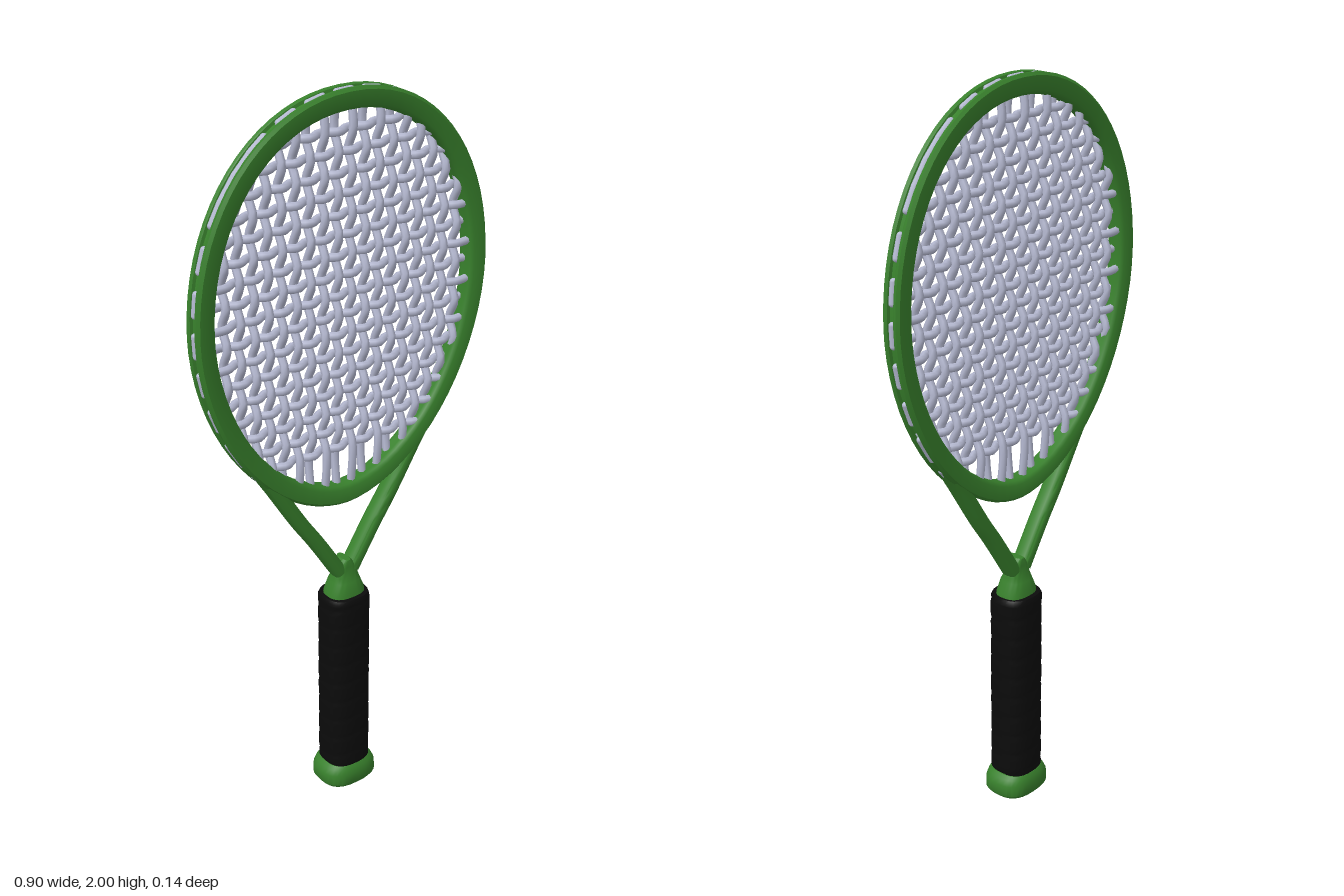
import * as THREE from 'three';
import { toCreasedNormals } from 'three/addons/utils/BufferGeometryUtils.js';

const V = (x, y, z) => new THREE.Vector3(x, y, z);

// Skin a list of equal-length rings; capped at both ends unless closed into a loop
function loft(rings, closed = false, crease = 0.7) {
  const n = rings[0].length, m = rings.length, index = [];
  const points = rings.flat();
  for (let i = 0; i < (closed ? m : m - 1); i++) {
    for (let j = 0; j < n; j++) {
      const k = (j + 1) % n, next = ((i + 1) % m) * n;
      const a = i * n + j, b = i * n + k, c = next + j, d = next + k;
      index.push(a, c, b, b, c, d);
    }
  }
  if (!closed) {
    const middle = ring => ring.reduce((s, p) => s.add(p), V(0, 0, 0)).divideScalar(n);
    points.push(middle(rings[0]), middle(rings[m - 1]));
    const first = m * n, last = first + 1, e = (m - 1) * n;
    for (let j = 0; j < n; j++) {
      const k = (j + 1) % n;
      index.push(first, j, k, last, e + k, e + j);
    }
  }
  const geo = new THREE.BufferGeometry().setFromPoints(points);
  geo.setIndex(index);
  return toCreasedNormals(geo, crease);
}

// Superellipse helpers
const spow = (v, e) => Math.sign(v) * Math.abs(v) ** e;
const oval = (rx, rz, p, n) => Array.from({ length: n }, (_, j) => {
  const t = (j / n) * Math.PI * 2;
  return [rx * spow(Math.cos(t), 2 / p), rz * spow(Math.sin(t), 2 / p)];
});
const level = (y, rx, rz, p = 2.7, n = 32) => oval(rx, rz, p, n).map(([x, z]) => V(x, y, z));

// Egg-shaped head outline; g offsets it outward
const CY = 1.47, A = 0.4225, TOP = { b: 0.5025, p: 2.1 }, LOW = { b: 0.55, p: 1.85 };
function headPoint(t, g, z) {
  const c = Math.cos(t), { b, p } = c > 0 ? TOP : LOW;
  return V(-(A + g) * spow(Math.sin(t), 2 / p), CY + (b + g) * spow(c, 2 / p), z);
}
function halfWidth(y, g) {
  const { b, p } = y > CY ? TOP : LOW;
  return (A + g) * Math.max(0, 1 - (Math.abs(y - CY) / (b + g)) ** p) ** (1 / p);
}
function edgeY(x, g, side) {
  const { b, p } = side > 0 ? TOP : LOW;
  return CY + side * (b + g) * Math.max(0, 1 - (Math.abs(x) / (A + g)) ** p) ** (1 / p);
}

export function createModel() {
  const model = new THREE.Group();
  const green = new THREE.MeshStandardMaterial({ color: 0x38802c });
  const black = new THREE.MeshStandardMaterial({ color: 0x0b0b0b });
  const cord = new THREE.MeshStandardMaterial({ color: 0xb6bad2 });
  const add = (name, geo, mat, parent = model) => {
    const mesh = new THREE.Mesh(geo, mat);
    mesh.name = name;
    parent.add(mesh);
    return mesh;
  };
  const group = name => {
    const g = new THREE.Group();
    g.name = name;
    model.add(g);
    return g;
  };

  // Head frame with a groove around its outer edge
  const section = [
    [0.017, -0.008], [0.017, 0.008], [0.025, 0.01], [0.0275, 0.014], [0.0275, 0.02], [0.02, 0.027],
    [-0.016, 0.027], [-0.025, 0.02], [-0.0275, 0.01], [-0.0275, -0.01], [-0.025, -0.02], [-0.016, -0.027],
    [0.02, -0.027], [0.0275, -0.02], [0.0275, -0.014], [0.025, -0.01],
  ];
  const headRings = [];
  for (let i = 0; i < 72; i++) {
    headRings.push(section.map(([g, z]) => headPoint((i / 72) * Math.PI * 2, g, z)));
  }
  add('headFrame', loft(headRings, true), green);

  // Two shafts running from the head into the throat
  for (const s of [1, -1]) {
    const path = new THREE.CatmullRomCurve3(
      [[0.3, 1.1], [0.248, 1.03], [0.145, 0.868], [0.094, 0.795], [0.02, 0.68]].map(([x, y]) => V(s * x, y, 0)));
    const rings = [];
    for (let i = 0; i <= 16; i++) {
      const p = path.getPoint(i / 16), t = path.getTangent(i / 16);
      rings.push(oval(0.02, 0.026, 3, 16).map(([u, z]) => V(p.x + t.y * u, p.y - t.x * u, z)));
    }
    add(s > 0 ? 'leftShaft' : 'rightShaft', loft(rings), green);
  }

  // Throat, grip and butt cap
  const stack = rows => loft(rows.map(r => level(...r)));
  add('throat', stack([
    [0.6, 0.056, 0.046], [0.62, 0.054, 0.043], [0.65, 0.042, 0.036], [0.665, 0.038, 0.028],
    [0.695, 0.032, 0.026], [0.715, 0.01, 0.024],
  ]), green);

  const gripRings = [];
  for (let i = 0; i <= 64; i++) {
    const y = 0.06 + 0.55 * (i / 64);
    const edge = i === 0 || i === 64 ? 0.94 : 1;
    gripRings.push(level(y, 0.066, 0.061).map((p, j) => {
      // spiral overlap of the tape
      const f = (y / 0.06 + j / 32) % 1;
      const k = edge * (1 - 0.04 * Math.max(0, 1 - f * 4));
      return V(p.x * k, y, p.z * k);
    }));
  }
  add('grip', loft(gripRings), black);

  add('buttCap', stack([
    [0, 0.078, 0.064], [0.01, 0.085, 0.071], [0.04, 0.084, 0.07], [0.056, 0.076, 0.066], [0.065, 0.066, 0.06],
  ]), green);

  // Woven strings
  const xs = Array.from({ length: 18 }, (_, i) => (i - 8.5) * 0.042);
  const ys = Array.from({ length: 17 }, (_, k) => 1.056 + k * 0.0525);
  const WEAVE = 0.01, RADIUS = 0.011, END = 0.012;
  const string = (name, pts, parent) => add(name, new THREE.TubeGeometry(
    new THREE.CatmullRomCurve3(pts), pts.length * 3, RADIUS, 7), cord, parent);

  const mains = group('mainStrings');
  xs.forEach((x, i) => {
    const lo = edgeY(x, END, -1), hi = edgeY(x, END, 1), pts = [V(x, lo, 0)];
    ys.forEach((y, k) => {
      if (y > lo + 0.03 && y < hi - 0.03) pts.push(V(x, y, (i + k) % 2 ? WEAVE : -WEAVE));
    });
    pts.push(V(x, hi, 0));
    string('mainString', pts, mains);
  });

  const crosses = group('crossStrings');
  ys.forEach((y, k) => {
    const w = halfWidth(y, END), pts = [V(-w, y, 0)];
    xs.forEach((x, i) => {
      if (Math.abs(x) < w - 0.03) pts.push(V(x, y, (i + k) % 2 ? -WEAVE : WEAVE));
    });
    pts.push(V(w, y, 0));
    string('crossString', pts, crosses);
  });

  // String loops lying in the outer groove
  const loops = group('stringLoops');
  const loop = (a, b) => {
    const mesh = add('stringLoop', new THREE.CapsuleGeometry(0.009, a.distanceTo(b), 4, 8), cord, loops);
    mesh.position.copy(a).add(b).multiplyScalar(0.5);
    mesh.quaternion.setFromUnitVectors(V(0, 1, 0), b.clone().sub(a).normalize());
  };
  const G = 0.018;
  for (const s of [1, -1]) {
    for (let i = -4; i <= 4; i++) {
      const x0 = i * 0.084 - 0.021, x1 = x0 + 0.042;
      loop(V(x0, edgeY(x0, G, s), 0), V(x1, edgeY(x1, G, s), 0));
    }
    for (let k = 0; k < 9; k++) {
      const y0 = 1.004 + k * 0.105, y1 = y0 + 0.052;
      loop(V(s * halfWidth(y0, G), y0, 0), V(s * halfWidth(y1, G), y1, 0));
    }
  }
  return model;
}
